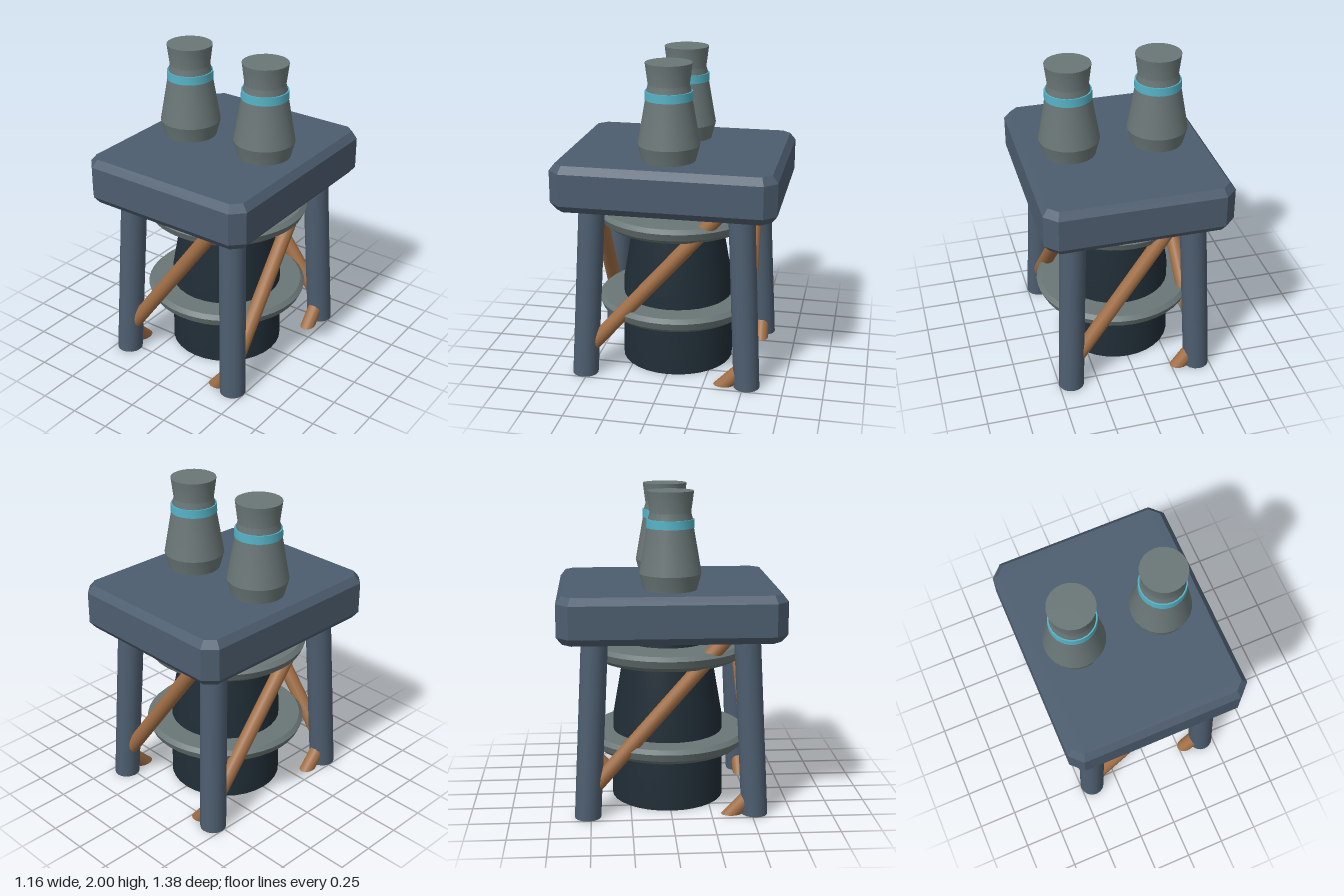
import * as THREE from 'three';
import { toCreasedNormals } from 'three/addons/utils/BufferGeometryUtils.js';

const mat = (name, color, side = THREE.FrontSide) => {
  const m = new THREE.MeshStandardMaterial({ color, side });
  m.name = name;
  return m;
};

export function createModel() {
  const group = new THREE.Group();
  const slate = mat('slate blue steel', 0x4d5d6f);
  const dark = mat('dark hull', 0x202d36, THREE.DoubleSide);
  const grey = mat('grey metal', 0x6a7676);
  const cyan = mat('cyan trim', 0x54b2c6);
  const copper = mat('copper pipe', 0xa06e45);

  const add = (name, geometry, material, x = 0, y = 0, z = 0) => {
    const mesh = new THREE.Mesh(geometry, material);
    mesh.name = name;
    mesh.position.set(x, y, z);
    group.add(mesh);
    return mesh;
  };
  const lathe = (points, segments, crease = 0.4) => toCreasedNormals(
    new THREE.LatheGeometry(points.map(p => new THREE.Vector2(...p)), segments), crease);

  // Straight tube between two points; its lower end can be cut level with the ground
  const rod = (name, a, b, radius, material, cutAtGround) => {
    const axis = b.clone().sub(a);
    const geo = new THREE.CylinderGeometry(radius, radius, axis.length(), 16);
    axis.normalize();
    geo.applyQuaternion(new THREE.Quaternion().setFromUnitVectors(new THREE.Vector3(0, 1, 0), axis));
    const mid = a.clone().add(b).multiplyScalar(0.5);
    geo.translate(mid.x, mid.y, mid.z);
    if (cutAtGround) {
      const pos = geo.attributes.position;
      const v = new THREE.Vector3();
      for (let i = 0; i < pos.count; i++) {
        v.fromBufferAttribute(pos, i);
        if (v.clone().sub(mid).dot(axis) < 0) v.addScaledVector(axis, -v.y / axis.y);
        pos.setXYZ(i, v.x, v.y, v.z);
      }
    }
    add(name, geo, material);
  };

  // Deck: chamfered rectangle with bevelled edges
  const hx = 0.58, hz = 0.69, c = 0.075;
  const outline = new THREE.Shape([
    [hx, -hz + c], [hx, hz - c], [hx - c, hz], [-hx + c, hz],
    [-hx, hz - c], [-hx, -hz + c], [-hx + c, -hz], [hx - c, -hz],
  ].map(p => new THREE.Vector2(...p)));
  const deck = new THREE.ExtrudeGeometry(outline, {
    depth: 0.2, bevelEnabled: true, bevelSegments: 1,
    bevelThickness: 0.045, bevelSize: 0.035, bevelOffset: -0.035,
  });
  deck.rotateX(-Math.PI / 2);
  add('deck', deck, slate, 0, 1.162, 0);

  // Central open-bottomed hull
  add('hull', lathe([[0.36, 0], [0.352, 0.54], [0.28, 0.95], [0.255, 1.15]], 32), dark);

  // Collars around the hull
  for (const y of [0.395, 0.98]) {
    add('collar', lathe([
      [0, -0.05], [0.46, -0.05], [0.495, -0.022], [0.515, 0.025], [0.49, 0.05], [0, 0.05],
    ], 40), grey, 0, y, 0);
  }

  // Splayed legs and the spiral of diagonal braces between them
  const corners = [[-1, 1], [1, 1], [1, -1], [-1, -1]];
  const onLeg = ([sx, sz], y) => new THREE.Vector3(sx * (0.42 - 0.04 * y), y, sz * (0.52 - 0.05 * y));
  corners.forEach((corner, i) => {
    const next = corners[(i + 1) % 4];
    rod('leg', onLeg(corner, 0), onLeg(corner, 1.25), 0.082, slate, true);
    rod('brace', onLeg(corner, 0.15), onLeg(next, 1.25), 0.047, copper, false);
    // Top of the lower brace, ending at the ground
    const high = onLeg(next, 0.14), low = onLeg(corner, -0.96);
    rod('lowerBrace', high.clone().lerp(low, 0.14 / 1.1), high, 0.047, copper, true);
  });

  // Twin stacks with trim bands
  for (const x of [-0.28, 0.28]) {
    add('stack', lathe([
      [0.16, 1.38], [0.165, 1.41], [0.19, 1.505], [0.14, 1.79],
      [0.136, 1.83], [0.125, 1.87], [0.142, 2], [0, 2],
    ], 24), grey, x);
    add('stackBand', lathe([
      [0.13, 1.78], [0.146, 1.78], [0.144, 1.832], [0.12, 1.832],
    ], 24), cyan, x);
  }
  return group;
}
